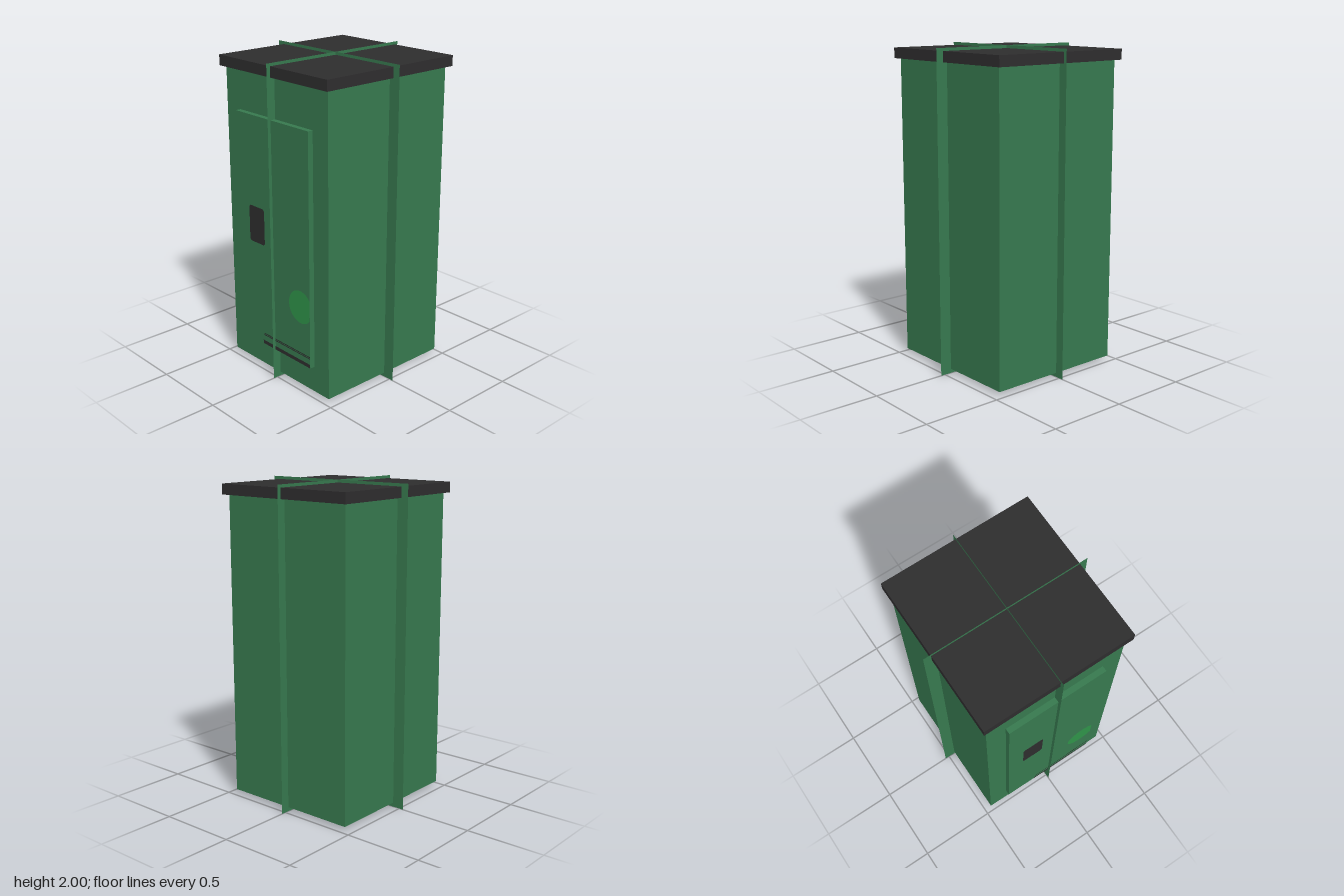
import * as THREE from 'three';

export function createModel() {
  const group = new THREE.Group();
  const green = new THREE.MeshStandardMaterial({ color: 0x37794f, side: THREE.DoubleSide });
  const charcoal = new THREE.MeshStandardMaterial({ color: 0x2e2d2e });
  const brightGreen = new THREE.MeshStandardMaterial({ color: 0x2f9349 });

  const add = (name, geometry, material) => {
    const mesh = new THREE.Mesh(geometry, material);
    mesh.name = name;
    group.add(mesh);
    return mesh;
  };
  // Box given by its two extreme corners
  const box = (name, material, x0, x1, y0, y1, z0, z1) => {
    const mesh = add(name, new THREE.BoxGeometry(x1 - x0, y1 - y0, z1 - z0), material);
    mesh.position.set((x0 + x1) / 2, (y0 + y1) / 2, (z0 + z1) / 2);
  };

  // Cabinet, roof slab and raised door
  box('cabinet', green, -0.453, 0.453, 0.026, 1.917, -0.472, 0.472);
  box('roof', charcoal, -0.48, 0.48, 1.917, 1.982, -0.505, 0.502);
  const doorFront = 0.507, doorEdge = 0.326;
  box('door', green, -doorEdge, doorEdge, 0.195, 1.67, 0.472, doorFront);

  // Two crossed upright sheets that stand out as thin fins
  for (const [name, angle] of [['crossSheet', 0], ['lengthwiseSheet', Math.PI / 2]]) {
    const sheet = add(name, new THREE.PlaneGeometry(1.056, 2), green);
    sheet.position.y = 1;
    sheet.rotation.y = angle;
  }

  // Painted door details
  const plate = (name, shape, material) => {
    add(name, new THREE.ShapeGeometry(shape, 24), material).position.z = doorFront + 0.002;
  };
  const rectangle = (x0, x1, y0, y1, cut = 0) => new THREE.Shape([
    [x0 + cut, y0], [x1 - cut, y0], [x1, y0 + cut], [x1, y1 - cut],
    [x1 - cut, y1], [x0 + cut, y1], [x0, y1 - cut], [x0, y0 + cut],
  ].map(([x, y]) => new THREE.Vector2(x, y)));

  plate('lockPanel', rectangle(-0.222, -0.08, 0.87, 1.103, 0.012), charcoal);
  plate('bottomBar', rectangle(-0.118, doorEdge, 0.197, 0.221, 0.002), charcoal);
  for (const y of [0.257, 0.267]) {
    plate('thinStripe', rectangle(-0.11, doorEdge, y, y + 0.006), charcoal);
  }

  // Round badge cut off by the door edge
  const centreX = 0.245, radius = 0.105;
  const cutAngle = Math.acos((doorEdge - centreX) / radius);
  const badge = new THREE.Shape();
  badge.absarc(centreX, 0.575, radius, cutAngle, 2 * Math.PI - cutAngle, false);
  plate('badge', badge, brightGreen);

  return group;
}
